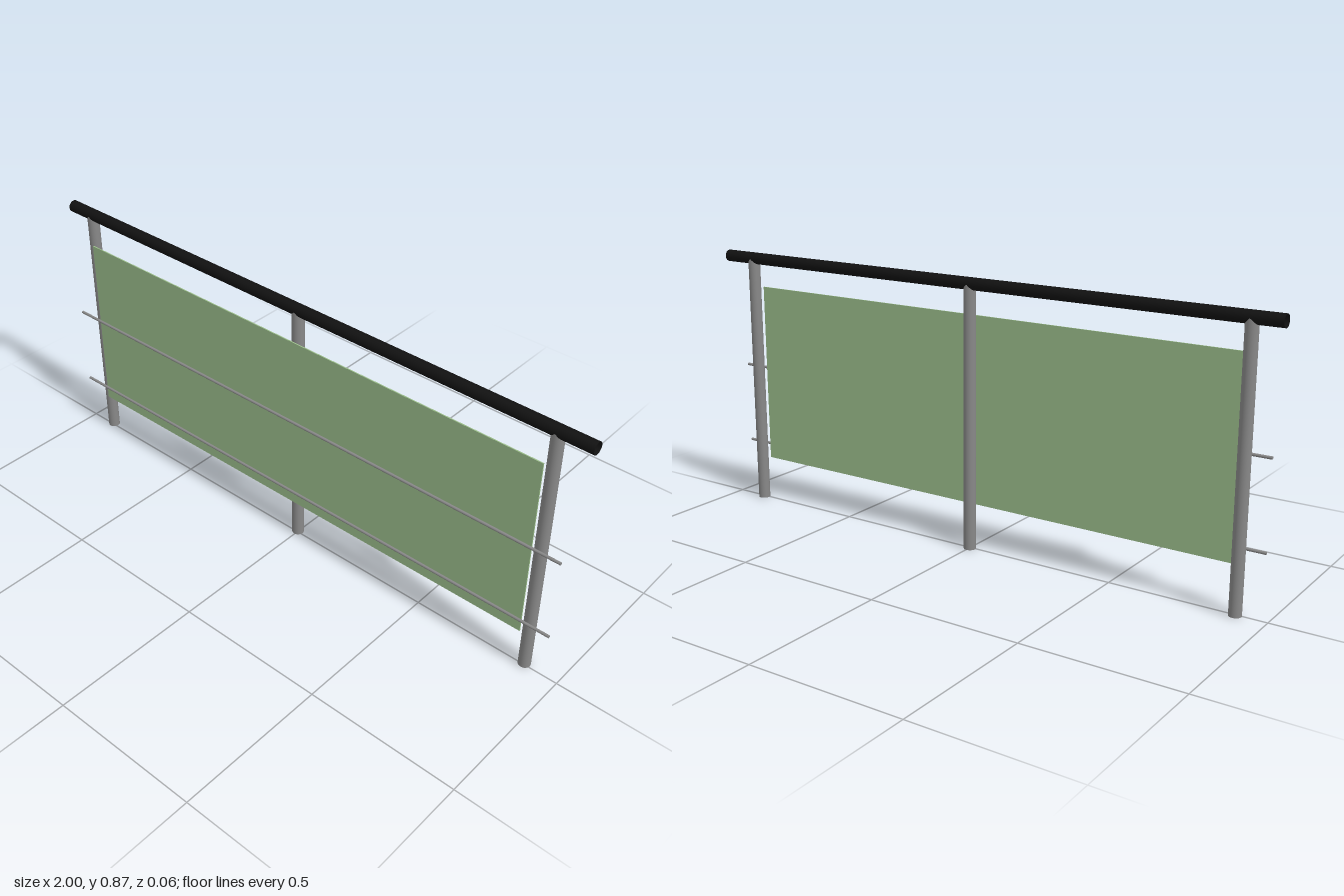
import * as THREE from 'three';

const steel = new THREE.MeshStandardMaterial({ color: 0x888888 });
const black = new THREE.MeshStandardMaterial({ color: 0x111111, side: THREE.DoubleSide });
const green = new THREE.MeshStandardMaterial({ color: 0x9abc8a });

export function createModel() {
  const group = new THREE.Group();
  const add = (name, geometry, material, x, y, z) => {
    const mesh = new THREE.Mesh(geometry, material);
    mesh.name = name;
    mesh.position.set(x, y, z);
    group.add(mesh);
  };
  // Horizontal round bar along x
  const bar = (radius, length, open) =>
    new THREE.CylinderGeometry(radius, radius, length, 24, 1, open).rotateZ(Math.PI / 2);

  const axisZ = -0.0056;

  // Round posts reaching the middle of the handrail
  const postHeight = 0.848;
  const postGeometry = new THREE.CylinderGeometry(0.0195, 0.0195, postHeight, 24);
  [['rightPost', -0.905], ['middlePost', -0.002], ['leftPost', 0.886]].forEach(([name, x]) =>
    add(name, postGeometry, steel, x, postHeight / 2, axisZ));

  // Handrail: hollow tube with open ends
  add('handrail', bar(0.0195, 2, true), black, 0, 0.85, axisZ);

  // Thin infill panel in front of the posts
  add('panel', new THREE.BoxGeometry(1.758, 0.608, 0.004), green, -0.009, 0.446, 0.0196);

  // Two slim rods running across the panel
  const rodGeometry = bar(0.0046, 1.94, false);
  [['lowerRod', 0.19], ['upperRod', 0.465]].forEach(([name, y]) =>
    add(name, rodGeometry, steel, -0.002, y, 0.0286));

  return group;
}
